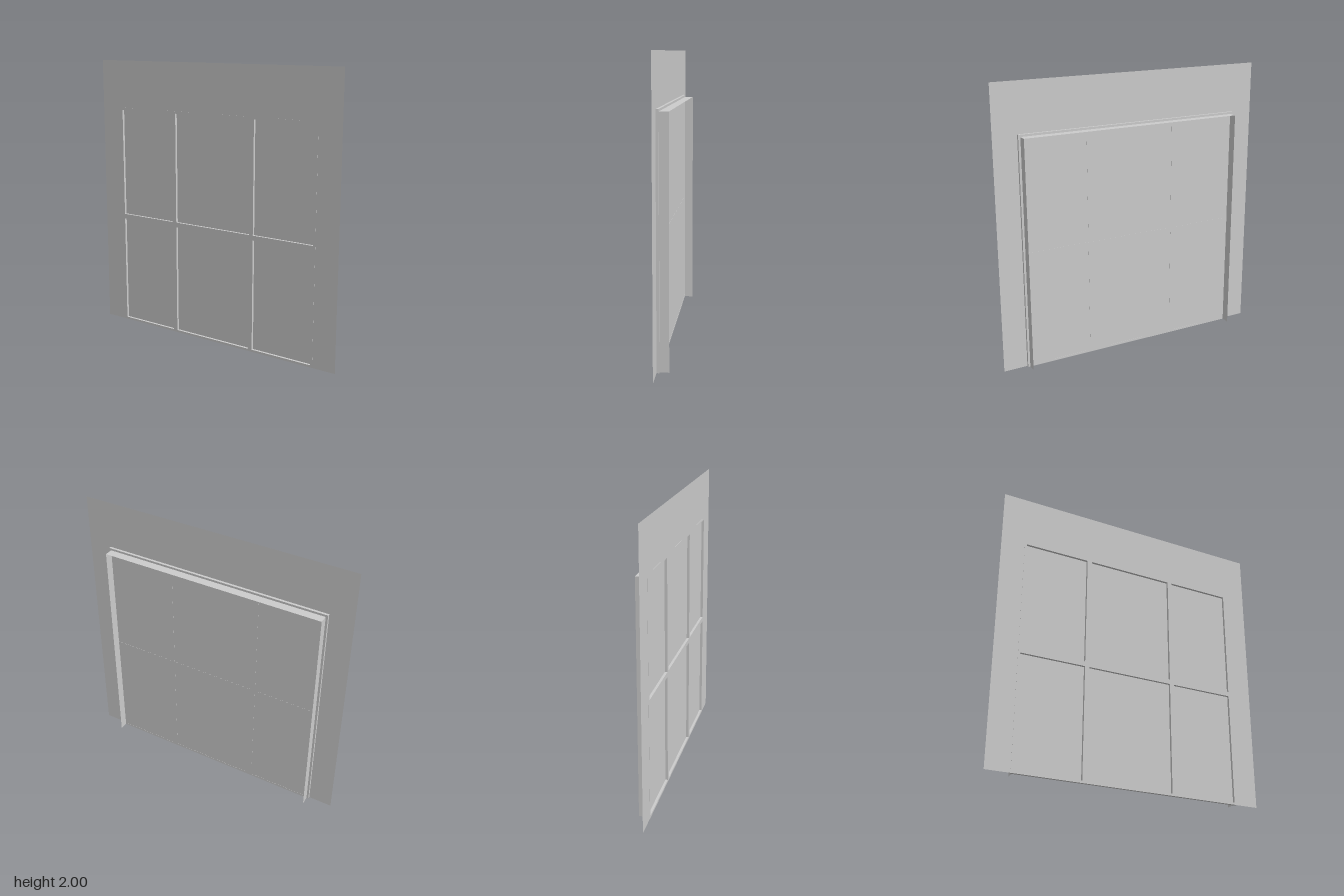
import * as THREE from 'three';

const material = new THREE.MeshStandardMaterial({ color: 0xcccccc, side: THREE.DoubleSide });

// Closed rectangle from two opposite corners
function rect(Type, x0, y0, x1, y1) {
  const path = new Type();
  path.moveTo(x0, y0);
  path.lineTo(x1, y0);
  path.lineTo(x1, y1);
  path.lineTo(x0, y1);
  path.closePath();
  return path;
}

export function createModel() {
  const group = new THREE.Group();
  const add = (name, geometry, x = 0, y = 0, z = 0) => {
    const mesh = new THREE.Mesh(geometry, material);
    mesh.name = name;
    mesh.position.set(x, y, z);
    group.add(mesh);
    return mesh;
  };

  const frameW = 0.83, frameH = 1.655;   // outer frame half width and height
  const boxW = 0.815, boxH = 1.64;       // lining half width and height
  const back = -0.04, mid = 0.021, front = 0.04;

  // Thin wall sheet with an opening that reaches the floor
  const wall = new THREE.Shape();
  [[-1, 0], [-frameW, 0], [-frameW, frameH], [frameW, frameH],
    [frameW, 0], [1, 0], [1, 2], [-1, 2]]
    .forEach(([x, y], i) => (i ? wall.lineTo(x, y) : wall.moveTo(x, y)));
  wall.closePath();
  add('wall', new THREE.ShapeGeometry(wall), 0, 0, front - 0.001);

  // Window frame with six openings divided by mullions and a cross rail
  const frame = rect(THREE.Shape, -frameW, 0, frameW, frameH);
  const columns = [[-0.815, -0.35], [-0.317, 0.315], [0.347, 0.815]];
  const rows = [[0.016, 0.81], [0.845, 1.638]];
  for (const [x0, x1] of columns) {
    for (const [y0, y1] of rows) frame.holes.push(rect(THREE.Path, x0, y0, x1, y1));
  }
  add('frame', new THREE.ExtrudeGeometry(frame, { depth: front - mid, bevelEnabled: false }), 0, 0, mid);

  // Pane sheet set at the back of the frame
  add('panes', new THREE.PlaneGeometry(boxW * 2, boxH), 0, boxH / 2, mid + 0.001);

  // Thin lining running back from the frame along both sides and the top
  const depth = mid - back, z = (mid + back) / 2;
  for (const side of [-1, 1]) {
    const jamb = add(side < 0 ? 'rightLining' : 'leftLining',
      new THREE.PlaneGeometry(depth, boxH), side * boxW, boxH / 2, z);
    jamb.rotation.y = side * Math.PI / 2;
  }
  const head = add('topLining', new THREE.PlaneGeometry(boxW * 2, depth), 0, boxH, z);
  head.rotation.x = -Math.PI / 2;

  return group;
}
